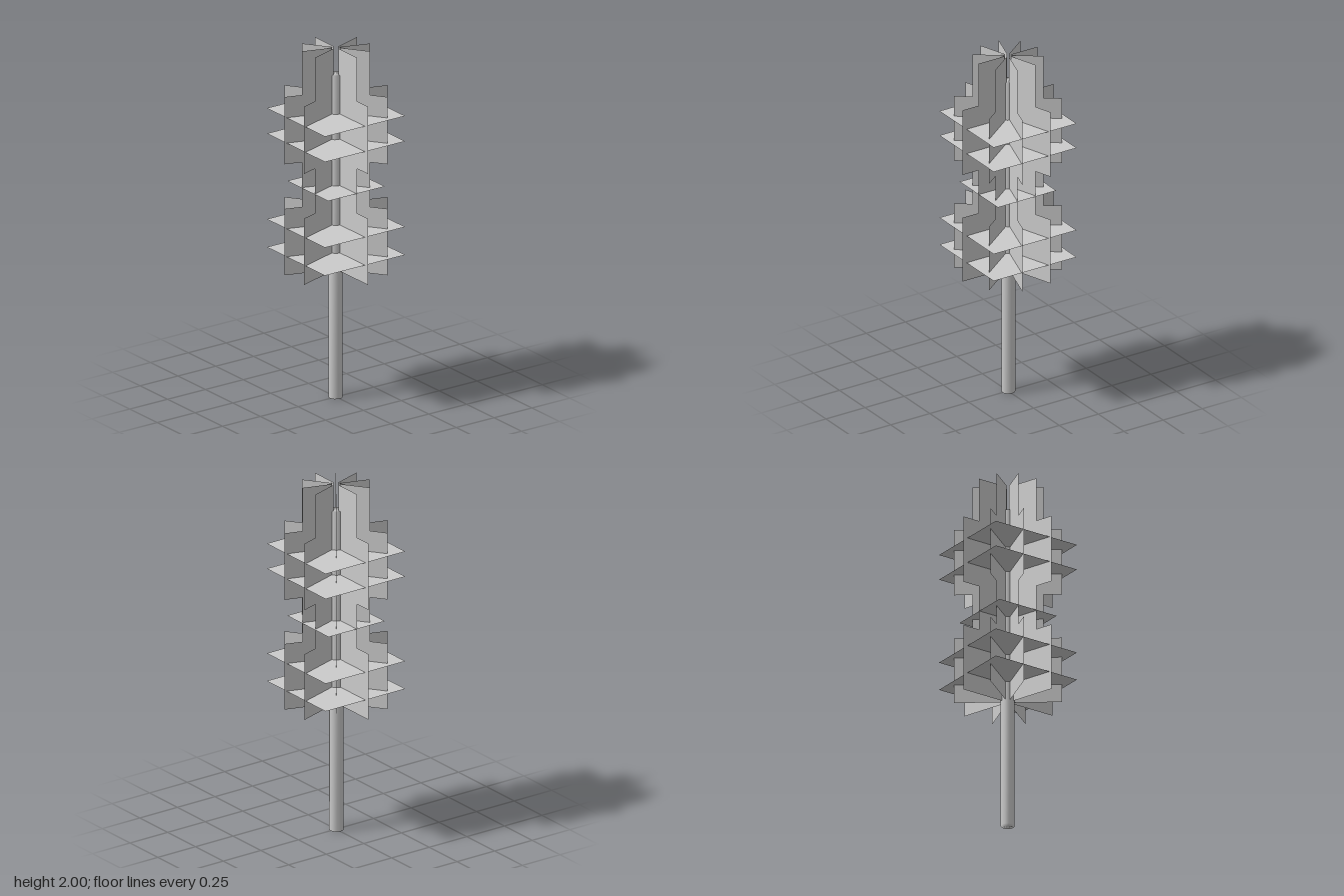
import * as THREE from 'three';
import { mergeVertices } from 'three/addons/utils/BufferGeometryUtils.js';

const trunkMaterial = new THREE.MeshStandardMaterial({ color: 0xcccccc });
const leafMaterial = new THREE.MeshStandardMaterial({ color: 0xcccccc, side: THREE.DoubleSide });

const WIDE = 0.29, NARROW = 0.19, INNER = 0.022;
// Foliage tiers: bottom, top, outer radius
const TIERS = [
  [0.73, 1.11, WIDE],
  [1.11, 1.365, NARROW],
  [1.365, 1.75, WIDE],
  [1.75, 2.0, NARROW],
];
// Horizontal leaf cards: height, half width
const CARDS = [[0.835, 0.265], [0.995, 0.265], [1.22, 0.187], [1.485, 0.265], [1.63, 0.265]];

// Eleven-sided trunk, smoothed over the cap edges
function createTrunk() {
  const geometry = new THREE.CylinderGeometry(0.0385, 0.0385, 1.85, 11, 1, false, -Math.PI / 2);
  geometry.deleteAttribute('normal');
  geometry.deleteAttribute('uv');
  const smooth = mergeVertices(geometry, 1e-4);
  smooth.computeVertexNormals();
  const trunk = new THREE.Mesh(smooth, trunkMaterial);
  trunk.name = 'trunk';
  trunk.position.set(-0.0025, 0.925, 0.001);
  return trunk;
}

// Stepped silhouette of one upright fin
function createFinGeometry() {
  const shape = new THREE.Shape();
  shape.moveTo(INNER, TIERS[0][0]);
  for (const [bottom, top, radius] of TIERS) {
    shape.lineTo(radius, bottom);
    shape.lineTo(radius, top);
  }
  shape.lineTo(INNER, 2.0);
  shape.closePath();
  return new THREE.ShapeGeometry(shape);
}

export function createModel() {
  const model = new THREE.Group();
  model.name = 'tree';
  model.add(createTrunk());

  // Ten upright fins around the trunk
  const fins = new THREE.Group();
  fins.name = 'uprightFoliage';
  const finGeometry = createFinGeometry();
  for (let i = 0; i < 10; i++) {
    const fin = new THREE.Mesh(finGeometry, leafMaterial);
    fin.name = 'foliageFin';
    fin.rotation.y = (i * Math.PI) / 5;
    fins.add(fin);
  }
  model.add(fins);

  // Flat square cards crossing the fins
  const cards = new THREE.Group();
  cards.name = 'flatFoliage';
  for (const [height, half] of CARDS) {
    const card = new THREE.Mesh(new THREE.PlaneGeometry(2 * half, 2 * half), leafMaterial);
    card.name = 'foliageCard';
    card.rotation.x = -Math.PI / 2;
    card.position.y = height;
    cards.add(card);
  }
  model.add(cards);
  return model;
}
